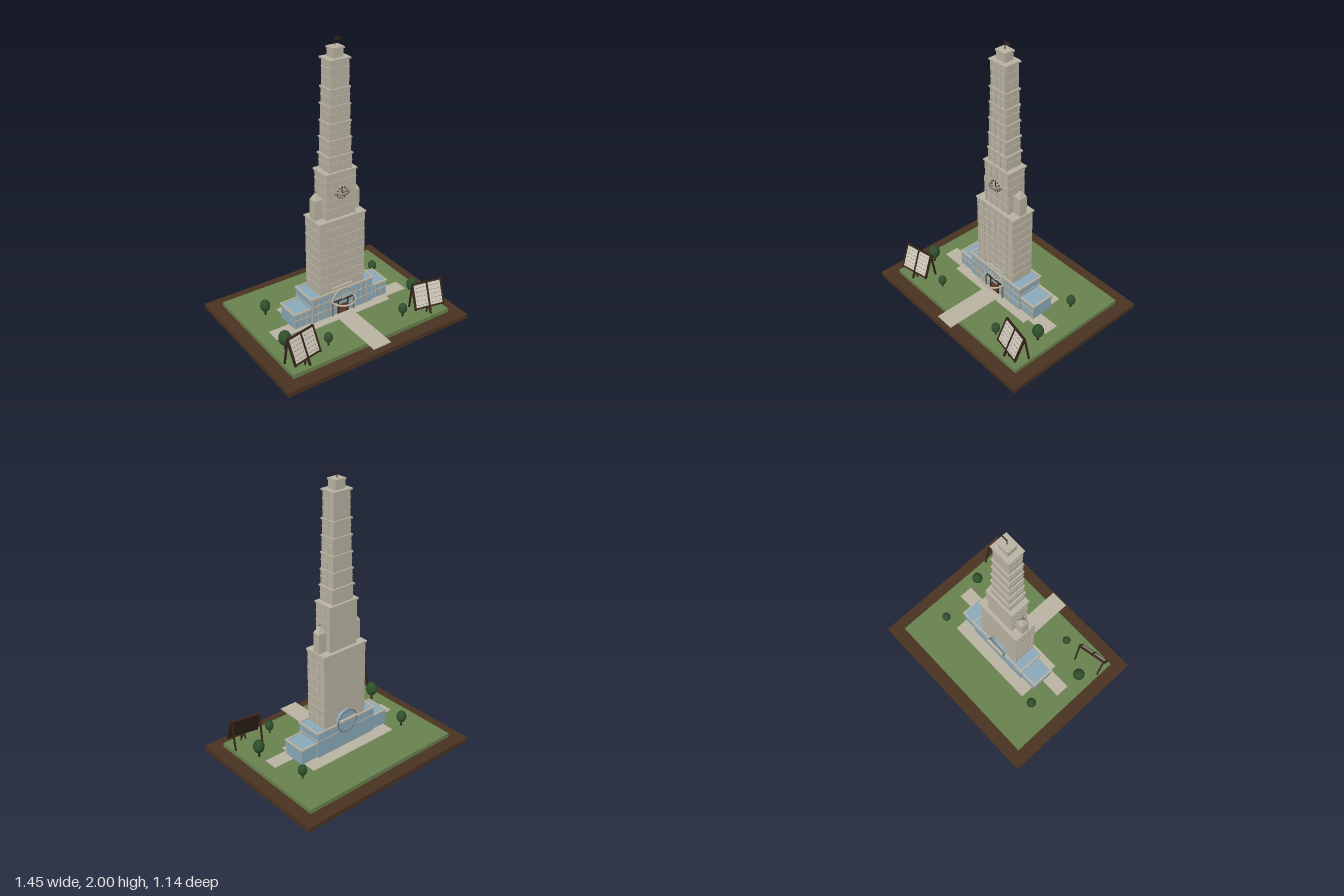
import * as THREE from 'three';

const mat = (name, color) => Object.assign(new THREE.MeshStandardMaterial({ color }), { name });

export function createModel() {
  const root = new THREE.Group();
  root.name = 'towerDiorama';
  const stone = mat('stone', 0xbab4a3), wood = mat('darkWood', 0x35241a), soil = mat('soil', 0x4a3322);
  const grass = mat('grass', 0x69824e), glass = mat('glass', 0x8baabb), leaf = mat('foliage', 0x2f4f2c);
  const paper = mat('boardPanel', 0xcfc8ba), slate = mat('slate', 0x75716f), door = mat('door', 0x6b4029);

  const add = (name, geo, m, x, y, z, parent = root) => {
    const mesh = new THREE.Mesh(geo, m);
    mesh.name = name;
    mesh.position.set(x, y, z);
    parent.add(mesh);
    return mesh;
  };
  // Box given by its centre in x and z and its bottom in y
  const box = (name, m, w, h, d, x, y, z, parent) =>
    add(name, new THREE.BoxGeometry(w, h, d), m, x, y + h / 2, z, parent);
  // Square bar between two points
  const bar = (name, m, a, b, t, parent) => {
    const p = new THREE.Vector3(...a), q = new THREE.Vector3(...b);
    const mid = p.clone().add(q).multiplyScalar(0.5);
    const mesh = add(name, new THREE.BoxGeometry(t, p.distanceTo(q), t), m, mid.x, mid.y, mid.z, parent);
    mesh.quaternion.setFromUnitVectors(new THREE.Vector3(0, 1, 0), q.sub(p).normalize());
    return mesh;
  };
  // Rectangular rim round a roof
  const rim = (name, w, d, y, z, t = 0.012, h = 0.012) => {
    for (const s of [-1, 1]) {
      box(name, stone, w, h, t, 0, y, z + s * (d - t) / 2);
      box(name, stone, t, h, d - 2 * t, s * (w - t) / 2, y, z);
    }
  };

  // Ground and paving
  box('groundSlab', soil, 1.454, 0.035, 1.14, 0, 0, 0);
  box('lawn', grass, 1.266, 0.03, 0.95, 0, 0.035, 0);
  box('plaza', stone, 0.728, 0.005, 0.342, 0, 0.065, -0.014);
  box('sidePath', stone, 1.074, 0.004, 0.105, 0, 0.065, 0.062);
  box('frontPath', stone, 0.14, 0.006, 0.46, 0, 0.065, 0.325);

  // Glazed wings and lobby
  box('wings', glass, 0.765, 0.113, 0.17, 0, 0.068, 0);
  rim('wingRim', 0.78, 0.182, 0.175, 0);
  box('lobby', glass, 0.508, 0.19, 0.195, 0, 0.068, 0);
  rim('lobbyRim', 0.524, 0.207, 0.254, 0);
  rim('lobbyBand', 0.514, 0.2, 0.195, 0, 0.006, 0.008);
  box('lobbyLowBand', stone, 0.51, 0.006, 0.005, 0, 0.13, 0.0985);
  for (const s of [-1, 1]) {
    for (let i = 0; i < 4; i++)
      box('lobbyMullion', stone, 0.005, 0.187, 0.005, s * (0.105 + i * 0.048), 0.07, 0.0985);
    for (let i = 0; i < 3; i++)
      box('wingMullion', stone, 0.005, 0.11, 0.005, s * (0.29 + i * 0.045), 0.07, 0.086);
    box('wingLowBand', stone, 0.13, 0.006, 0.005, s * 0.318, 0.13, 0.086);
  }

  // Entrance
  for (const s of [-1, 1]) {
    box('doorLeaf', door, 0.029, 0.072, 0.006, s * 0.016, 0.07, 0.101);
    box('doorPost', wood, 0.006, 0.108, 0.008, s * 0.04, 0.07, 0.101);
    box('canopyPost', slate, 0.009, 0.108, 0.009, s * 0.088, 0.07, 0.104);
  }
  box('doorLintel', wood, 0.18, 0.007, 0.008, 0, 0.173, 0.101);
  add('entranceArch', new THREE.TorusGeometry(0.088, 0.007, 6, 32, Math.PI), stone, 0, 0.178, 0.101);
  add('canopyRing', new THREE.TorusGeometry(0.088, 0.007, 6, 40), stone, 0, 0.18, 0.1).rotation.x = Math.PI / 2;
  for (let i = 1; i < 6; i++) {
    const a = i * Math.PI / 6;
    bar('archSpoke', stone, [0, 0.18, 0.101], [0.086 * Math.cos(a), 0.18 + 0.086 * Math.sin(a), 0.101], 0.004);
  }
  box('entranceLedge', stone, 0.158, 0.012, 0.02, 0, 0.28, 0.093);

  // Round window on the back
  const disc = add('roundWindow', new THREE.CylinderGeometry(0.083, 0.083, 0.03, 40), glass, 0, 0.265, -0.093);
  disc.rotation.x = Math.PI / 2;
  add('roundWindowFrame', new THREE.TorusGeometry(0.083, 0.004, 6, 40), slate, 0, 0.265, -0.107);
  box('roundWindowLedge', stone, 0.155, 0.01, 0.03, 0, 0.283, -0.112);

  // Tower tiers: [bottom, top, half width, half depth, cornice overhang, piers, floors]
  const tiers = [
    [0.25, 0.81, 0.178, 0.085, 0.009, 7, 8], [0.81, 1.14, 0.113, 0.068, 0.01, 5, 5],
    [1.14, 1.25, 0.085, 0.061, 0.009, 4, 2], [1.25, 1.36, 0.08, 0.059, 0.007, 4, 2],
    [1.36, 1.472, 0.076, 0.057, 0.007, 4, 2], [1.472, 1.585, 0.073, 0.055, 0.007, 4, 2],
    [1.585, 1.695, 0.07, 0.053, 0.008, 4, 2], [1.695, 1.88, 0.066, 0.051, 0.011, 4, 3],
    [1.88, 1.945, 0.039, 0.034, 0.005, 0, 1],
  ];
  const zc = 0.003;
  for (const [y0, y1, hw, hd, over, piers, floors] of tiers) {
    const h = y1 - y0;
    box('towerTier', stone, hw * 2, h, hd * 2, 0, y0, zc);
    box('tierCornice', stone, (hw + over) * 2, 0.011, (hd + over) * 2, 0, y1 - 0.009, zc);
    // Ledges and piers on the front and both sides; the back stays plain
    for (let i = 1; i < floors; i++)
      box('floorLedge', stone, hw * 2 + 0.009, 0.008, hd * 2 + 0.004, 0, y0 + h * i / floors, zc + 0.0025);
    for (let i = 0; i < piers; i++) {
      const x = -hw + 0.005 + i * (2 * hw - 0.01) / (piers - 1);
      box('frontPier', stone, 0.01, h, 0.008, x, y0, zc + hd + 0.002);
    }
    const n = piers > 4 ? 4 : 3;
    if (piers) for (let i = 0; i < n; i++) for (const s of [-1, 1])
      box('sidePier', stone, 0.005, h, 0.008, s * (hw + 0.0005), y0, zc - hd + 0.005 + i * (2 * hd - 0.01) / (n - 1));
  }

  // Corner pinnacles
  for (const s of [-1, 1]) {
    box('pinnacle', stone, 0.058, 0.14, 0.058, s * 0.149, 0.81, 0);
    add('pinnacleRoof', new THREE.ConeGeometry(0.041, 0.055, 4).toNonIndexed().rotateY(Math.PI / 4),
      stone, s * 0.149, 0.9775, 0).geometry.computeVertexNormals();
    add('pinnacleBall', new THREE.SphereGeometry(0.006, 8, 6), slate, s * 0.149, 1.004, 0);
  }

  // Clock with a flat ring around it
  const cy = 0.992, cz = zc + 0.068 + 0.008;
  const face = add('clockFace', new THREE.CylinderGeometry(0.045, 0.045, 0.006, 32), stone, 0, cy, cz);
  face.rotation.x = Math.PI / 2;
  for (let i = 0; i < 12; i++) {
    const a = i * Math.PI / 6, c = Math.cos(a), d = Math.sin(a);
    bar('hourMark', door, [0.033 * c, cy + 0.033 * d, cz + 0.004], [0.045 * c, cy + 0.045 * d, cz + 0.004], 0.007);
  }
  bar('clockHand', wood, [0, cy, cz + 0.005], [0, cy + 0.032, cz + 0.005], 0.004);
  bar('clockHand', wood, [0, cy, cz + 0.005], [0.022, cy, cz + 0.005], 0.004);
  add('clockRing', new THREE.TorusGeometry(0.052, 0.006, 6, 36), slate, 0, cy, 0.067).rotation.x = Math.PI / 2;

  // Flag
  add('flagPole', new THREE.CylinderGeometry(0.003, 0.003, 0.055, 8), wood, 0, 1.9725, 0);
  box('flag', wood, 0.04, 0.018, 0.004, 0.022, 1.98, 0);

  // Trees: [x, z, radius]
  for (const [x, z, r] of [[-0.455, -0.18, 0.035], [0.467, -0.193, 0.031], [-0.54, 0.22, 0.042],
    [0.537, 0.187, 0.039], [-0.285, 0.345, 0.029], [0.315, 0.365, 0.03]]) {
    const tree = new THREE.Group();
    tree.name = 'tree';
    tree.position.set(x, 0.065, z);
    root.add(tree);
    add('trunk', new THREE.CylinderGeometry(r * 0.16, r * 0.2, r * 1.6, 8), wood, 0, r * 0.8, 0, tree);
    add('foliage', new THREE.SphereGeometry(r, 20, 14), leaf, 0, r * 2.1, 0, tree).scale.y = 1.28;
  }

  // Leaning notice boards on legs
  for (const s of [-1, 1]) {
    const stand = new THREE.Group();
    stand.name = 'noticeBoard';
    stand.position.set(s * 0.495, 0.065, 0.452);
    stand.rotation.y = -s * 0.2;
    root.add(stand);
    const lean = new THREE.Group();
    lean.name = 'leaningPanel';
    lean.rotation.x = -0.4;
    stand.add(lean);
    box('boardBack', wood, 0.222, 0.178, 0.008, 0, 0.05, -0.003, lean);
    for (const y of [0.048, 0.222]) box('boardRail', wood, 0.226, 0.009, 0.016, 0, y, 0, lean);
    for (const x of [-0.108, 0, 0.108]) box('boardPost', wood, 0.011, x ? 0.19 : 0.232, 0.016, x, x ? 0.043 : 0, 0, lean);
    for (const side of [-1, 1]) {
      box('boardPanel', paper, 0.092, 0.158, 0.006, side * 0.054, 0.06, 0.003, lean);
      for (let r = 0; r < 5; r++) for (let c = -1; c <= 1; c++)
        box('boardLine', slate, 0.016, 0.003, 0.002, side * 0.054 + c * 0.027, 0.076 + r * 0.03, 0.0065, lean);
      bar('backLeg', wood, [side * 0.1, 0, -0.13], [side * 0.104, 0.21, -0.092], 0.011, stand);
      bar('innerLeg', wood, [side * 0.018, 0, -0.03], [side * 0.006, 0.06, -0.03], 0.009, stand);
    }
  }
  return root;
}
